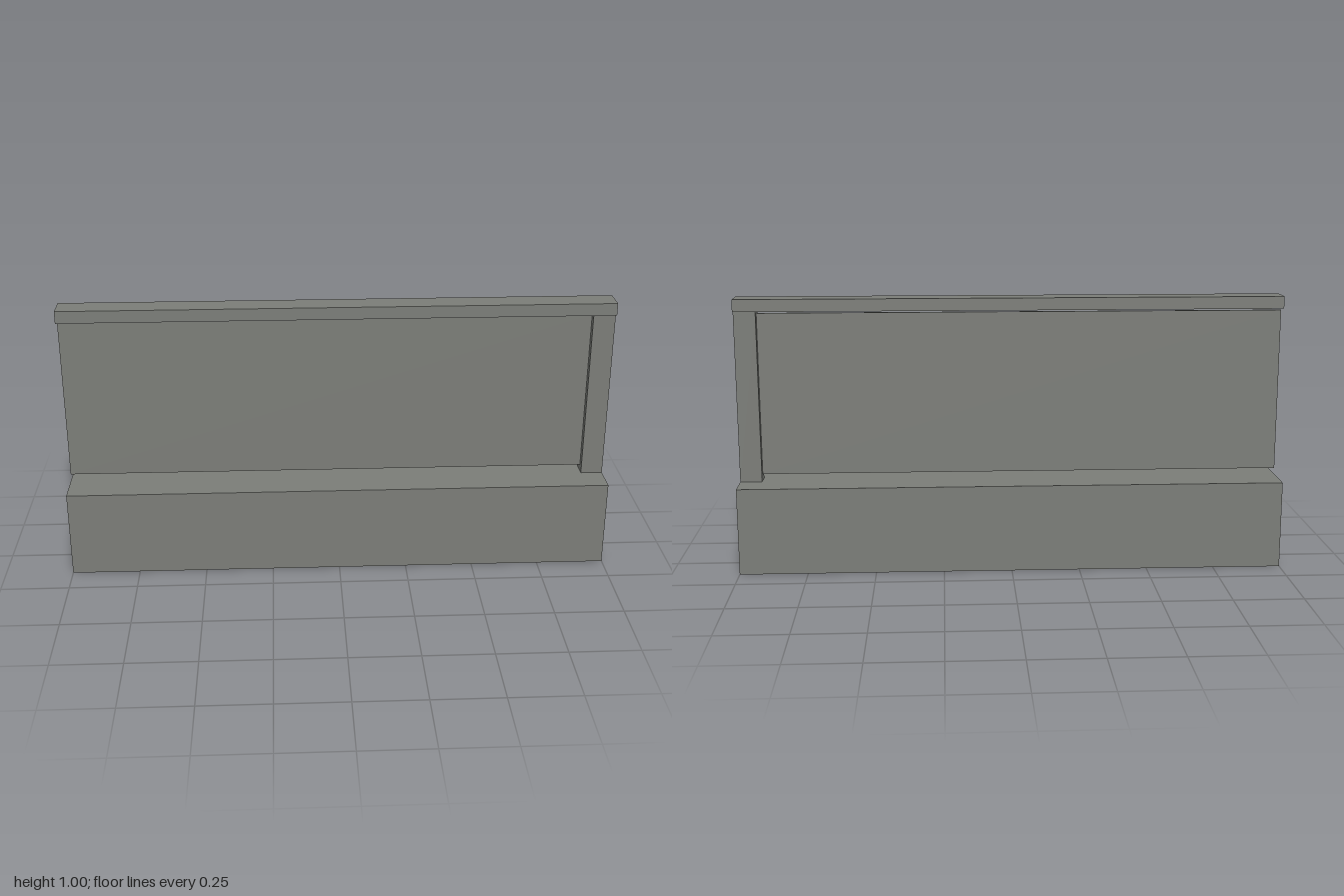
import * as THREE from 'three';

const grey = new THREE.MeshStandardMaterial({ color: 0x7b7d78 });
grey.name = 'concreteGrey';

// Box given by its extents in x and y, centred on z = 0
function block(name, x0, x1, y0, y1, depth) {
  const mesh = new THREE.Mesh(new THREE.BoxGeometry(x1 - x0, y1 - y0, depth), grey);
  mesh.position.set((x0 + x1) / 2, (y0 + y1) / 2, 0);
  mesh.name = name;
  return mesh;
}

export function createModel() {
  const group = new THREE.Group();
  group.name = 'railingSection';
  group.add(
    block('base', -1, 1, 0, 0.322, 0.28),
    // Single end post; the open end meets the next section
    block('post', 0.92, 1, 0.322, 0.955, 0.06),
    // Thin panel with narrow gaps above and below
    block('panel', -1, 0.92, 0.345, 0.945, 0.01),
    block('handrail', -1, 1, 0.955, 1, 0.094),
  );
  return group;
}
